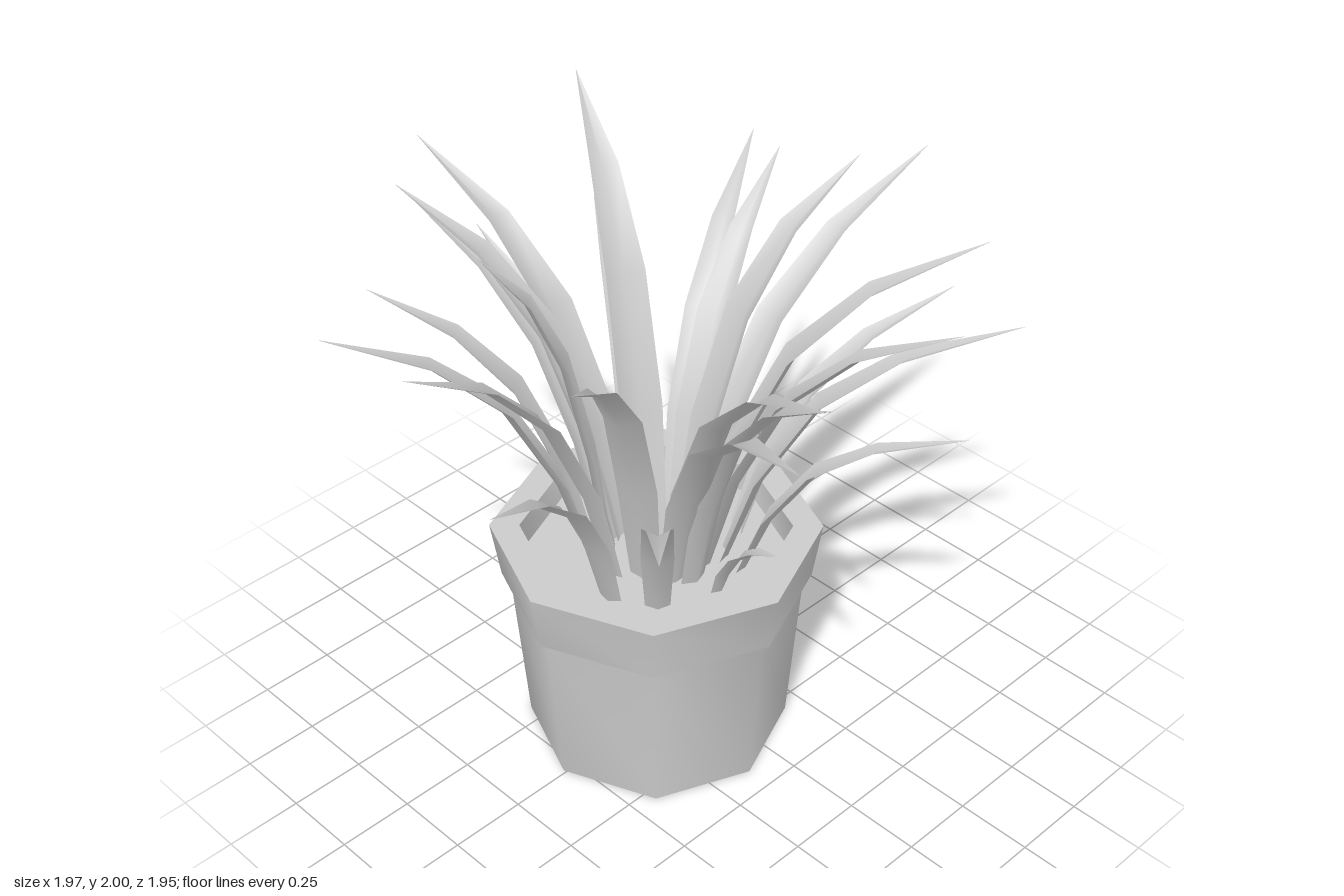
import * as THREE from 'three';
import { toCreasedNormals } from 'three/addons/utils/BufferGeometryUtils.js';

const CENTRE = new THREE.Vector3(-0.01, 0, 0.12);
const SOIL_Y = 0.67;

// Leaf tips: x, height, z
const TIPS = [
  [0.09, 1.74, -0.98], [-0.55, 1.6, -0.86], [0.37, 1.42, -0.81], [-0.33, 1.66, -0.75],
  [0.17, 1.9, -0.56], [0.67, 1.81, -0.56], [0.83, 1.6, -0.55], [0.84, 1.32, -0.32],
  [0.85, 1.72, -0.24], [-0.87, 1.39, -0.43], [-0.71, 1.38, -0.39], [-0.68, 2.0, -0.2],
  [-0.99, 1.4, -0.02], [-0.95, 1.83, 0.22], [-0.94, 1.65, 0.28], [-0.77, 1.82, 0.45],
  [-0.67, 1.59, 0.66], [-0.5, 1.63, 0.96], [-0.1, 1.69, 0.97], [0.21, 1.38, 0.95],
  [0.39, 1.8, 0.8], [0.69, 1.4, 0.78], [0.98, 1.74, 0.57], [0.91, 1.81, 0.4],
  [0.77, 1.65, 0.21], [0.51, 0.95, 0.12], [-0.34, 1.77, 0.5],
];

// Stations along a leaf: outward fraction, upward fraction, width
const STATIONS = [[0, 0, 0.1], [0.12, 0.35, 0.13], [0.32, 0.66, 0.12], [0.6, 0.86, 0.085], [1, 1, 0.002]];

// A curved, shallow-channelled blade that rises from the soil and bends outward to its tip
function leafGeometry([x, y, z]) {
  const tip = new THREE.Vector3(x, y, z);
  const out = new THREE.Vector3(x - CENTRE.x, 0, z - CENTRE.z);
  const reach = out.length();
  out.normalize();
  const side = new THREE.Vector3(out.z, 0, -out.x);
  const start = THREE.MathUtils.clamp(0.05 + (2 - y) * 0.38, 0.05, 0.27);
  const scale = THREE.MathUtils.clamp(0.75 + (y - 1.35) * 0.5, 0.6, 1.05);
  const positions = [], indices = [];
  STATIONS.forEach(([h, v, width], i) => {
    const p = CENTRE.clone().addScaledVector(out, start + (reach - start) * h);
    p.y = SOIL_Y + (tip.y - SOIL_Y) * v;
    const w = width * scale;
    for (const s of [-1, 0, 1]) {
      const q = p.clone().addScaledVector(side, s * w / 2);
      if (s === 0) { // keel sits below and outside the edges
        q.addScaledVector(out, w * 0.22);
        q.y -= w * 0.12;
      }
      positions.push(q.x, q.y, q.z);
    }
    if (i === 0) return;
    for (let c = 0; c < 2; c++) {
      const a = (i - 1) * 3 + c, b = a + 3;
      indices.push(a, a + 1, b, a + 1, b + 1, b);
    }
  });
  const geometry = new THREE.BufferGeometry();
  geometry.setAttribute('position', new THREE.Float32BufferAttribute(positions, 3));
  geometry.setIndex(indices);
  geometry.computeVertexNormals();
  return geometry;
}

export function createModel() {
  const model = new THREE.Group();
  const potMaterial = new THREE.MeshStandardMaterial({ color: 0xcccccc });
  const leafMaterial = new THREE.MeshStandardMaterial({ color: 0xcccccc, side: THREE.DoubleSide });

  // Eight-sided pot with an overhanging rim, hollow down to the soil
  const profile = [
    [0, 0], [0.425, 0], [0.47, 0.58], [0.495, 0.58], [0.525, 0.775], [0.43, 0.775], [0.42, SOIL_Y - 0.02],
  ].map(([r, h]) => new THREE.Vector2(r, h));
  const pot = new THREE.Mesh(toCreasedNormals(new THREE.LatheGeometry(profile, 8), 1), potMaterial);
  pot.name = 'pot';
  pot.position.copy(CENTRE);
  model.add(pot);

  // Soil disc inside the rim
  const soil = new THREE.Mesh(new THREE.CylinderGeometry(0.424, 0.42, 0.02, 8), potMaterial);
  soil.name = 'soil';
  soil.position.set(CENTRE.x, SOIL_Y, CENTRE.z);
  model.add(soil);

  // Rosette of pointed leaves
  const leaves = new THREE.Group();
  leaves.name = 'leaves';
  for (const tip of TIPS) {
    const leaf = new THREE.Mesh(leafGeometry(tip), leafMaterial);
    leaf.name = 'leaf';
    leaves.add(leaf);
  }
  model.add(leaves);
  return model;
}
